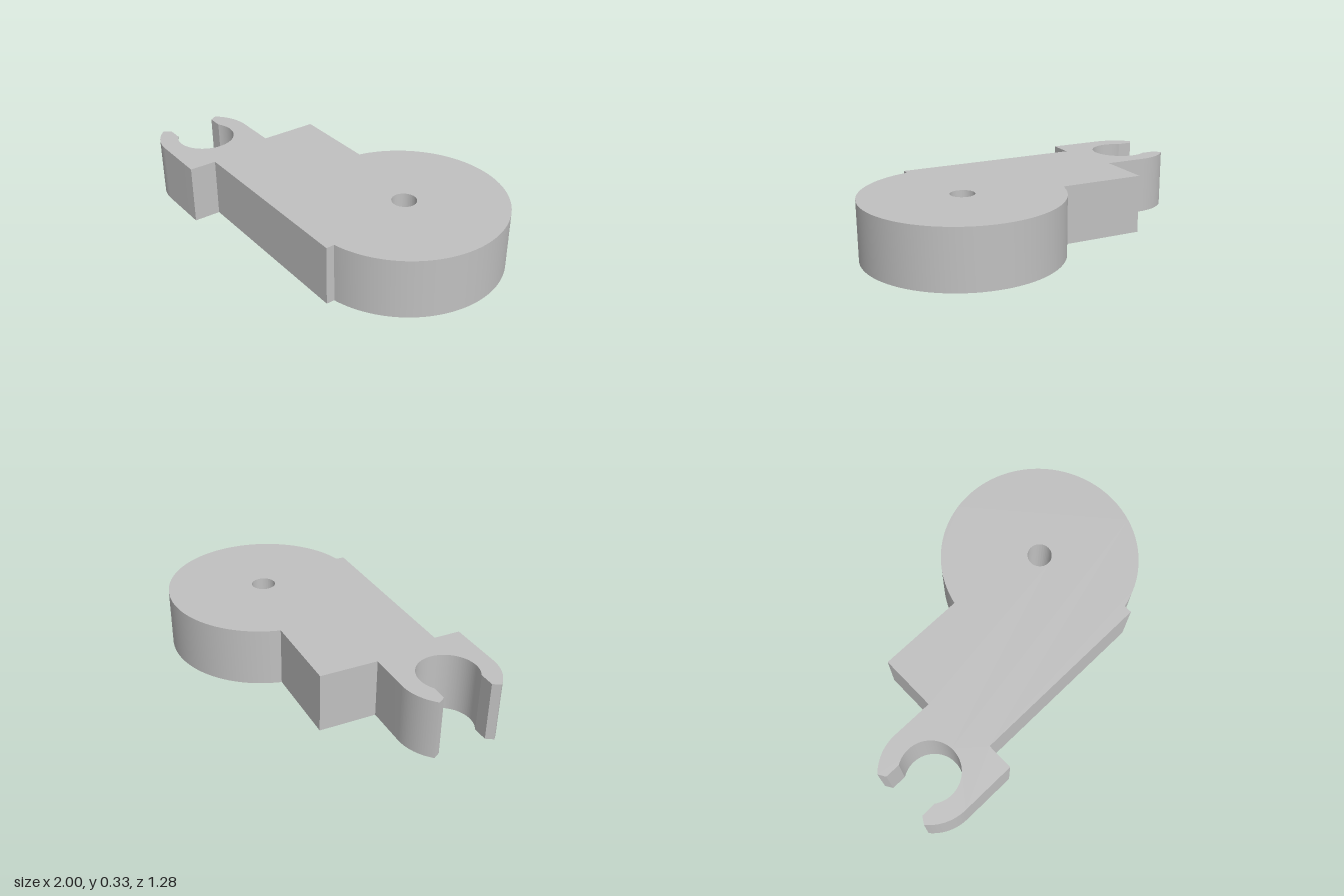
import * as THREE from 'three';
import { toCreasedNormals } from 'three/addons/utils/BufferGeometryUtils.js';

const HEIGHT = 0.33;
const disc = { x: 0.453, y: 0.095, r: 0.547 };
const socket = { x: -0.8, y: -0.37, inner: 0.162, outer: 0.265 };

export function createModel() {
  const grey = new THREE.MeshStandardMaterial({ color: 0xc0c0c0 });
  grey.name = 'light grey';

  // Outline in plan, where shape y is -z
  const shape = new THREE.Shape();
  const arc = (c, r, from, to, clockwise = false) =>
    shape.absarc(c.x, c.y, r, from, to, clockwise);
  const angle = (c, x, y) => Math.atan2(y - c.y, x - c.x);

  // Front jaw, stepped arm edge and corner beside the disc
  shape.moveTo(-1, -0.545);
  arc(socket, socket.outer, angle(socket, -1, -0.545), -Math.PI / 2);
  shape.lineTo(-0.49, -0.635);
  shape.lineTo(-0.49, -0.485);
  shape.lineTo(0.57, -0.485);

  // Round disc end
  arc(disc, disc.r, angle(disc, 0.57, -0.439), angle(disc, -0.08, 0.215));

  // Back edge of the arm and back jaw
  shape.lineTo(-0.565, 0.215);
  shape.lineTo(-0.565, -0.105);
  arc(socket, socket.outer, Math.PI / 2, angle(socket, -1, -0.195));
  shape.lineTo(-0.975, -0.235);

  // Open round socket between the jaws
  const lip = angle(socket, -0.89, -0.235);
  arc(socket, socket.inner, lip, -lip, true);
  shape.lineTo(-0.975, -0.505);
  shape.closePath();

  // Pivot hole through the disc
  const hole = new THREE.Path();
  hole.absarc(disc.x, disc.y, 0.067, 0, Math.PI * 2, true);
  shape.holes.push(hole);

  const solid = new THREE.ExtrudeGeometry(shape, {
    depth: HEIGHT, bevelEnabled: false, curveSegments: 64,
  });
  solid.rotateX(-Math.PI / 2);

  const arm = new THREE.Mesh(toCreasedNormals(solid, Math.PI / 9), grey);
  arm.name = 'clipArm';

  const model = new THREE.Group();
  model.name = 'pivotingClip';
  model.add(arm);
  return model;
}
